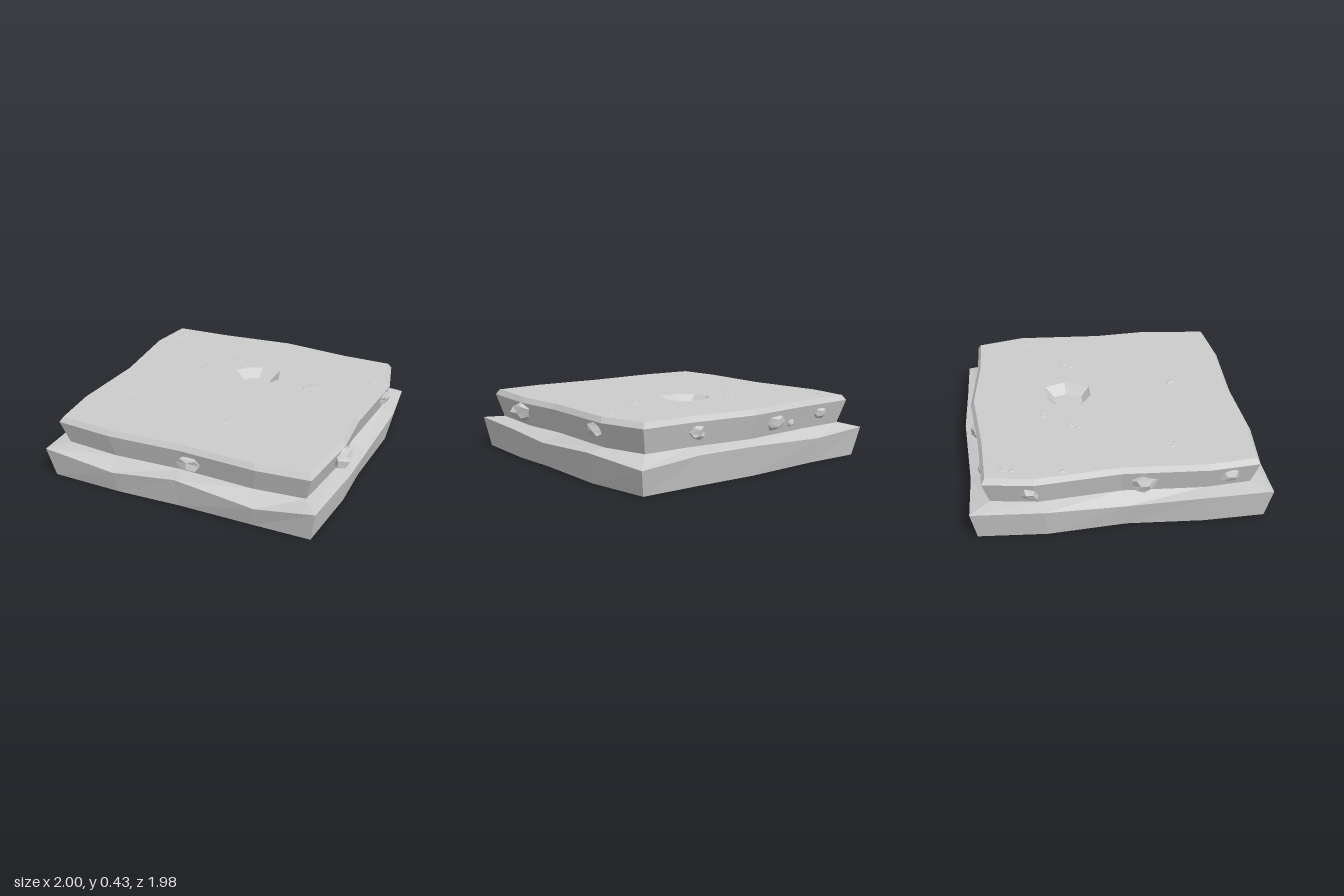
import * as THREE from 'three';

const material = new THREE.MeshStandardMaterial({ color: 0xcccccc, flatShading: true, side: THREE.DoubleSide });
const TOP = 0.42;

// Outlines run front, right, back, left; four points per side.
const skirtRim = [
  [-0.97, 0.21, 0.97], [-0.45, 0.16, 0.985], [0, 0.21, 0.97], [0.55, 0.145, 0.975],
  [0.945, 0.21, 0.975], [0.985, 0.2, 0.45], [0.975, 0.165, 0.08], [1, 0.2, -0.5],
  [0.94, 0.165, -0.97], [0.5, 0.2, -0.975], [0.05, 0.2, -0.99], [-0.55, 0.17, -0.955],
  [-0.97, 0.2, -0.96], [-1, 0.2, -0.5], [-0.955, 0.17, 0.03], [-0.985, 0.21, 0.55],
];
const slabRim = [
  [-0.89, 0.87], [-0.5, 0.905], [0, 0.885], [0.52, 0.91],
  [0.87, 0.88], [0.92, 0.4], [0.895, 0.05], [0.93, -0.55],
  [0.85, -0.87], [0.5, -0.875], [0.02, -0.925], [-0.5, -0.875],
  [-0.9, -0.86], [-0.945, -0.55], [-0.89, 0], [-0.92, 0.55],
].map(([x, z]) => [x, TOP, z]);

const craterRim = [
  [-0.14, -0.29], [-0.11, -0.18], [0, -0.1], [0.13, -0.1],
  [0.2, -0.27], [0.15, -0.41], [0.01, -0.41], [-0.08, -0.37],
].map(([x, z]) => [x, TOP, z]);

// Copy of a loop at another height, scaled about a centre.
const loopAt = (loop, y, s, cx = 0, cz = 0) =>
  loop.map((p) => [cx + (p[0] - cx) * s, y, cz + (p[2] - cz) * s]);

// Skin a stack of closed loops, from the lowest or outermost inwards.
function skin(name, loops) {
  const n = loops[0].length;
  const index = [];
  for (let r = 0; r < loops.length - 1; r++) {
    for (let i = 0; i < n; i++) {
      const j = (i + 1) % n;
      const a = r * n + i, b = r * n + j;
      index.push(a, b, b + n, a, b + n, a + n);
    }
  }
  const g = new THREE.BufferGeometry();
  g.setAttribute('position', new THREE.Float32BufferAttribute(loops.flat(2), 3));
  g.setIndex(index);
  g.computeVertexNormals();
  return named(name, g);
}

// Flat horizontal face, optionally with a hole.
function cap(name, loop, y, hole) {
  const flat = (l) => l.map((p) => new THREE.Vector2(p[0], -p[2]));
  const shape = new THREE.Shape(flat(loop));
  if (hole) shape.holes.push(new THREE.Path(flat(hole)));
  const g = new THREE.ShapeGeometry(shape);
  g.rotateX(-Math.PI / 2);
  g.translate(0, y, 0);
  return named(name, g);
}

function named(name, geometry) {
  const mesh = new THREE.Mesh(geometry, material);
  mesh.name = name;
  return mesh;
}

// Irregular faceted stone; the offset depends on position so corners stay joined.
function stone(name, [x, y, z], [sx, sy, sz], seed) {
  const g = new THREE.DodecahedronGeometry(1, 0);
  const p = g.attributes.position;
  const v = new THREE.Vector3();
  for (let i = 0; i < p.count; i++) {
    v.fromBufferAttribute(p, i);
    const k = 1 + 0.13 * Math.sin(v.x * 5 + v.y * 7 + v.z * 3 + seed * 2.3);
    p.setXYZ(i, v.x * k * sx, v.y * k * sy, v.z * k * sz);
  }
  g.computeVertexNormals();
  const mesh = named(name, g);
  mesh.position.set(x, y, z);
  return mesh;
}

export function createModel() {
  const group = new THREE.Group();
  group.name = 'rockSlab';

  // Open-bottomed base, ledge and overhanging upper wall
  const neck = loopAt(slabRim, 0.225, 0.965);
  const lip = loopAt(slabRim, 0.385, 1.015);
  const top = loopAt(slabRim, TOP, 0.99);
  group.add(skin('baseSkirt', [loopAt(skirtRim, 0, 0.96), skirtRim]));
  group.add(skin('ledge', [skirtRim, neck]));
  group.add(skin('upperWall', [neck, lip, top]));

  // Top face with a sunken crater
  const craterFloor = loopAt(craterRim, 0.36, 0.62, 0.03, -0.25);
  group.add(cap('topFace', top, TOP, craterRim));
  group.add(skin('craterWall', [craterRim, craterFloor]));
  group.add(cap('craterFloor', craterFloor, 0.36));

  // Stones set in the walls: position, half sizes
  [
    [[0.06, 0.3, 0.87], [0.09, 0.06, 0.06]],
    [[0.93, 0.32, 0.44], [0.06, 0.07, 0.1]],
    [[0.92, 0.33, -0.47], [0.045, 0.05, 0.085]],
    [[-0.92, 0.31, -0.58], [0.04, 0.06, 0.06]],
    [[-0.9, 0.3, 0.14], [0.045, 0.06, 0.08]],
    [[-0.9, 0.32, 0.69], [0.035, 0.05, 0.07]],
    [[-0.19, 0.31, -0.88], [0.085, 0.06, 0.06]],
    [[0.45, 0.32, -0.87], [0.06, 0.05, 0.045]],
    [[-0.36, 0.29, -0.87], [0.03, 0.03, 0.03]],
    [[-0.65, 0.32, -0.865], [0.06, 0.04, 0.03]],
  ].forEach(([at, size], i) => group.add(stone('wallStone', at, size, i)));

  // Pebbles barely breaking the top surface: x, z, radius
  [
    [-0.81, -0.74, 0.05], [-0.83, -0.68, 0.025], [-0.73, -0.83, 0.018],
    [-0.22, -0.45, 0.045], [-0.17, -0.44, 0.025], [-0.36, -0.28, 0.045],
    [-0.39, -0.22, 0.022], [-0.87, -0.37, 0.03], [0.47, -0.26, 0.065],
    [0.43, -0.2, 0.03], [0.83, -0.5, 0.035], [0.86, -0.4, 0.02],
    [0.13, 0.5, 0.045], [0.1, 0.47, 0.02], [-0.68, 0.36, 0.025], [-0.65, 0.38, 0.02],
  ].forEach(([x, z, r], i) => group.add(stone('topPebble', [x, TOP - 0.008, z], [r, 0.015, r], i)));

  return group;
}
